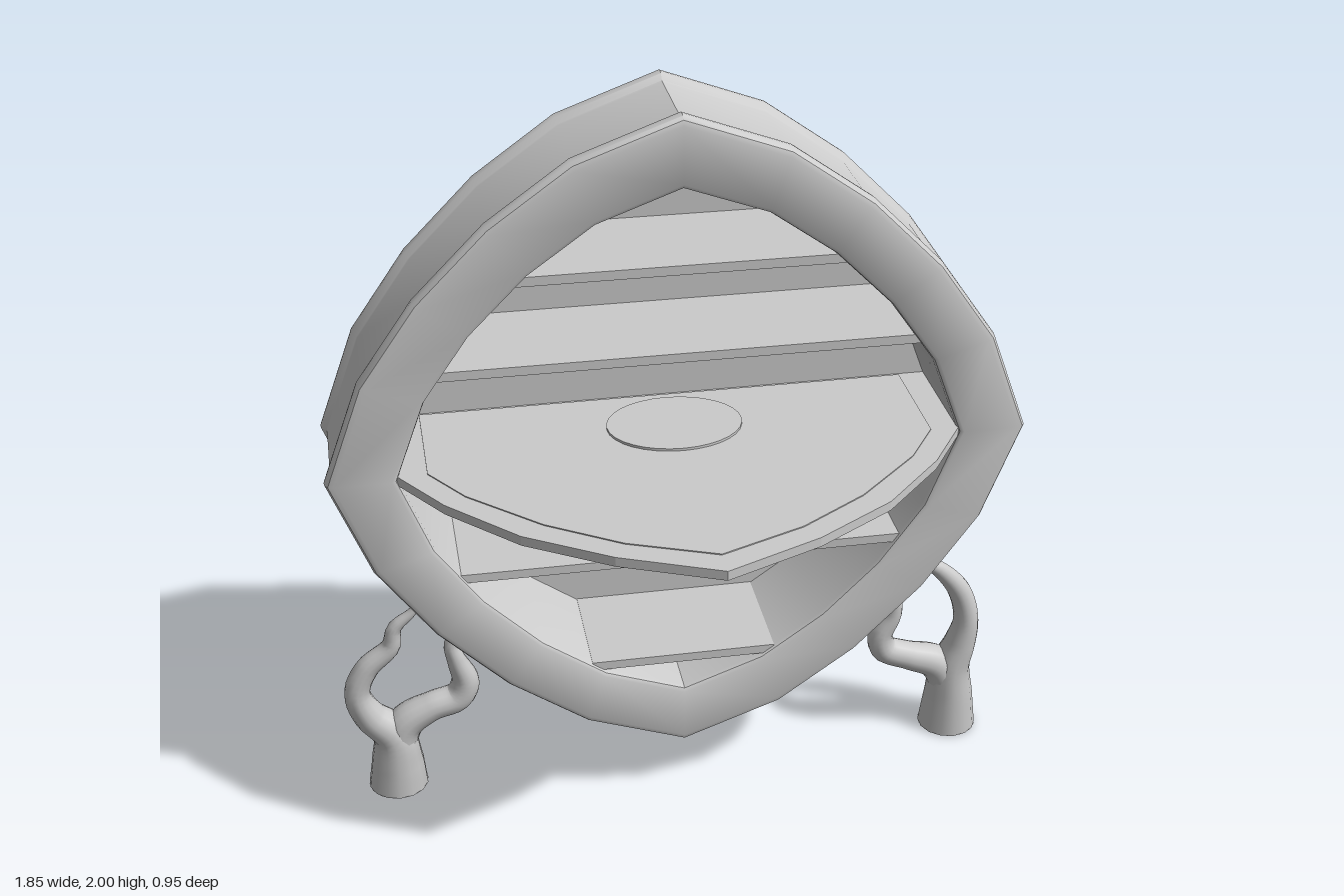
import * as THREE from 'three';
import { toCreasedNormals } from 'three/addons/utils/BufferGeometryUtils.js';

const CY = 1.085; // height of the cabinet's centre
const QUARTER = [[0.92, 0], [0.818, 0.27], [0.668, 0.482], [0.482, 0.668], [0.27, 0.818], [0, 0.916]];

const material = () => new THREE.MeshStandardMaterial({ color: 0xcccccc, side: THREE.DoubleSide });

function mesh(name, geometry) {
  const m = new THREE.Mesh(geometry, material());
  m.name = name;
  return m;
}

// Full counterclockwise outline, mirrored from one quarter
function outline() {
  const top = [...QUARTER, ...QUARTER.slice(0, -1).reverse().map(([x, y]) => [-x, y])];
  return [...top, ...top.slice(1, -1).reverse().map(([x, y]) => [x, -y])];
}

// Sweep a profile of [outline scale, z] around the outline
function cabinetGeometry(profile) {
  const pts = outline();
  const pos = [];
  const at = (k, i) => {
    const [s, z] = profile[k];
    const [x, y] = pts[i % pts.length];
    return [x * s, CY + y * s, z];
  };
  for (let k = 0; k < profile.length - 1; k++) {
    for (let i = 0; i < pts.length; i++) {
      const a = at(k, i), b = at(k, i + 1), c = at(k + 1, i), d = at(k + 1, i + 1);
      if (profile[k + 1][0] > 0) pos.push(...a, ...c, ...d);
      if (profile[k][0] > 0) pos.push(...a, ...d, ...b);
    }
  }
  const g = new THREE.BufferGeometry();
  g.setAttribute('position', new THREE.Float32BufferAttribute(pos, 3));
  return toCreasedNormals(g, 0.6);
}

// Half width of the opening at a height
function openingHalfWidth(y) {
  const d = Math.abs(y - CY) / 0.8;
  for (let i = 0; i < QUARTER.length - 1; i++) {
    const [x0, y0] = QUARTER[i], [x1, y1] = QUARTER[i + 1];
    if (d <= y1) return 0.8 * (x0 + (x1 - x0) * (d - y0) / (y1 - y0));
  }
  return 0;
}

// Horizontal plate from the right half of its plan, given as [x, z]
function plate(name, half, y, height) {
  const left = half.filter(([x]) => x > 0).reverse().map(([x, z]) => [-x, z]);
  const shape = new THREE.Shape([...half, ...left].map(([x, z]) => new THREE.Vector2(x, -z)));
  const g = new THREE.ExtrudeGeometry(shape, { depth: height, bevelEnabled: false });
  g.rotateX(-Math.PI / 2).translate(0, y, 0);
  return mesh(name, g);
}

// Tapering tube through points of [x, y, radius]
function branch(name, pts) {
  const z = -0.287;
  const curve = new THREE.CatmullRomCurve3(pts.map(([x, y]) => new THREE.Vector3(x, y, z)));
  const rows = 40, sides = 14;
  const g = new THREE.TubeGeometry(curve, rows, 1, sides);
  const p = g.attributes.position, v = new THREE.Vector3();
  for (let i = 0; i <= rows; i++) {
    const f = curve.getUtoTmapping(i / rows) * (pts.length - 1);
    const k = Math.min(Math.floor(f), pts.length - 2);
    const r = THREE.MathUtils.lerp(pts[k][2], pts[k + 1][2], f - k);
    const c = curve.getPointAt(i / rows);
    for (let j = 0; j <= sides; j++) {
      const n = i * (sides + 1) + j;
      v.fromBufferAttribute(p, n).sub(c).multiplyScalar(r).add(c);
      p.setXYZ(n, v.x, v.y, v.z);
    }
  }
  return mesh(name, g);
}

// Forked root: a trunk running into the outer branch, plus an inner branch
function foot(name, baseX, outer, inner) {
  const group = new THREE.Group();
  group.name = name;
  group.add(branch('trunkAndOuterBranch', outer), branch('innerBranch', inner));
  const sole = mesh('sole', new THREE.CircleGeometry(0.084, 14).rotateX(Math.PI / 2));
  sole.position.set(baseX, 0.001, -0.287);
  group.add(sole);
  return group;
}

export function createModel() {
  const model = new THREE.Group();

  // Cabinet shell: back panel, opening, rounded front and rear rims, recessed side
  model.add(mesh('cabinet', cabinetGeometry([
    [0, -0.44], [0.8, -0.44], [0.8, -0.12], [0.804, -0.108], [0.815, -0.102],
    [0.975, -0.102], [0.99, -0.107], [0.998, -0.118], [1, -0.132], [0.998, -0.146], [0.984, -0.163],
    [0.982, -0.17], [0.982, -0.405], [0.984, -0.412],
    [0.998, -0.428], [1, -0.443], [0.998, -0.457], [0.99, -0.468], [0.975, -0.473], [0, -0.473],
  ])));

  // Inner shelves
  [1.603, 1.363, 0.768, 0.446].forEach((y, i) => {
    const w = 2 * openingHalfWidth(y) + 0.03;
    const shelf = mesh('shelf' + (i + 1), new THREE.BoxGeometry(w, 0.025, 0.325));
    shelf.position.set(0, y, -0.2785);
    model.add(shelf);
  });

  // Fold-out table with a raised panel and a round pad
  model.add(plate('table', [[0.738, -0.44], [0.738, -0.115], [0.63, 0.05], [0.46, 0.23], [0.25, 0.365], [0, 0.473]], 1.07, 0.026));
  model.add(plate('tablePanel', [[0.66, -0.43], [0.66, -0.11], [0.575, 0.02], [0.4, 0.19], [0.22, 0.31], [0, 0.4]], 1.094, 0.005));
  const pad = mesh('roundPad', new THREE.CylinderGeometry(0.18, 0.18, 0.012, 32));
  pad.position.set(0, 1.1, -0.255);
  pad.scale.z = 0.8;
  model.add(pad);

  // Root-like feet, slightly different on each side
  model.add(foot('leftFoot', 0.825,
    [[0.825, 0, 0.084], [0.825, 0.1, 0.072], [0.825, 0.2, 0.058], [0.85, 0.28, 0.046], [0.862, 0.36, 0.036],
      [0.835, 0.46, 0.033], [0.775, 0.535, 0.024], [0.715, 0.58, 0.014], [0.683, 0.65, 0.002]],
    [[0.825, 0.13, 0.055], [0.78, 0.215, 0.052], [0.69, 0.252, 0.042], [0.62, 0.285, 0.04], [0.608, 0.335, 0.036],
      [0.64, 0.4, 0.027], [0.643, 0.455, 0.019], [0.61, 0.492, 0.012], [0.56, 0.5, 0.003]]));
  model.add(foot('rightFoot', -0.8,
    [[-0.8, 0, 0.084], [-0.798, 0.08, 0.074], [-0.805, 0.17, 0.058], [-0.865, 0.24, 0.046], [-0.893, 0.32, 0.036],
      [-0.86, 0.4, 0.033], [-0.79, 0.465, 0.027], [-0.775, 0.525, 0.02], [-0.72, 0.575, 0.012], [-0.683, 0.645, 0.002]],
    [[-0.8, 0.12, 0.055], [-0.765, 0.205, 0.052], [-0.69, 0.25, 0.042], [-0.615, 0.275, 0.042], [-0.592, 0.325, 0.04],
      [-0.613, 0.4, 0.027], [-0.625, 0.455, 0.019], [-0.6, 0.492, 0.012], [-0.55, 0.5, 0.003]]));

  return model;
}
